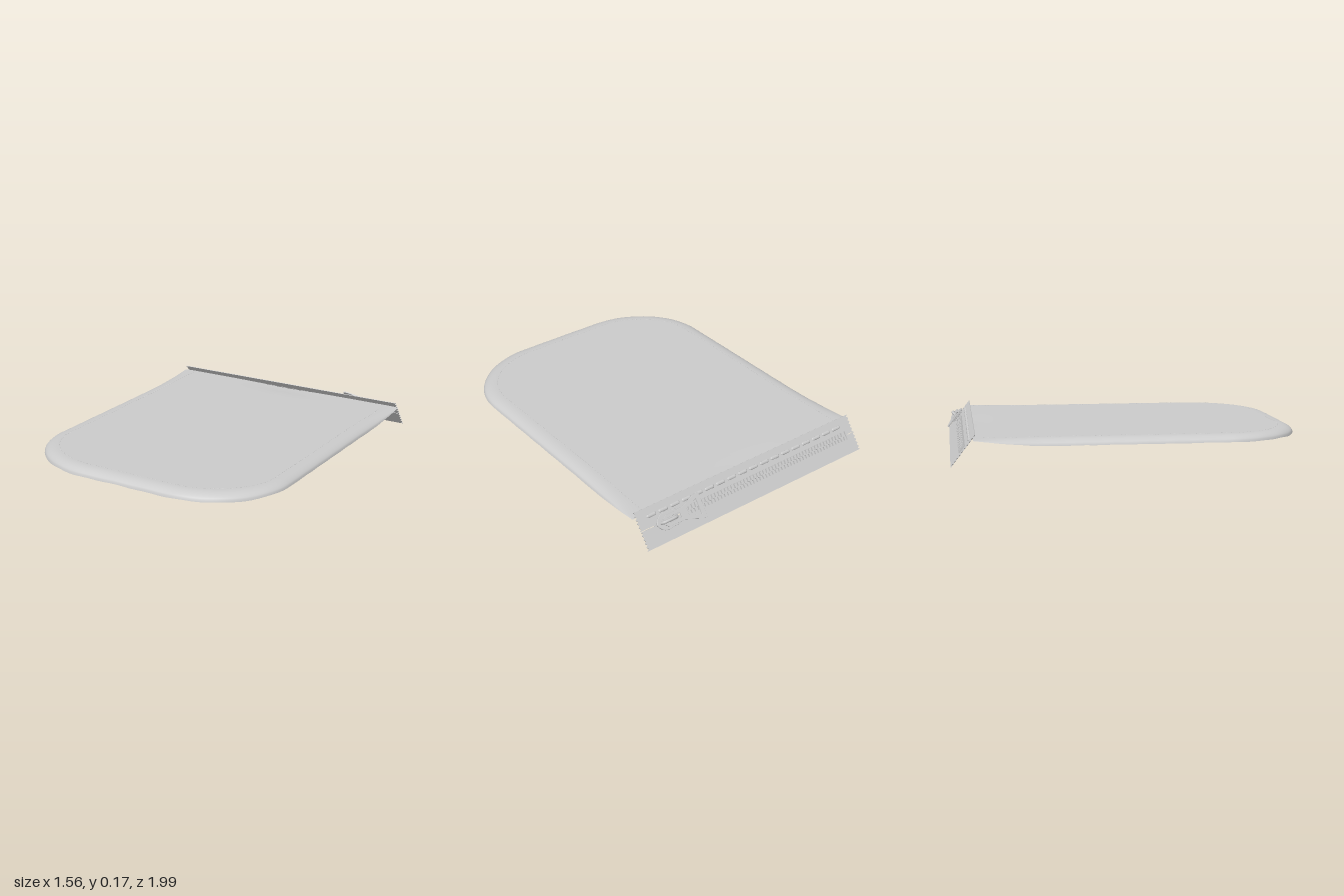
import * as THREE from 'three';
import { mergeGeometries } from 'three/addons/utils/BufferGeometryUtils.js';

const grey = new THREE.MeshStandardMaterial({ color: 0xcccccc, side: THREE.DoubleSide });
const { smoothstep, clamp, lerp } = THREE.MathUtils;

function part(name, geometry, parent) {
  const mesh = new THREE.Mesh(geometry, grey);
  mesh.name = name;
  parent.add(mesh);
  return mesh;
}

// U-shaped outline of the pocket, moved inward by d; runs from +x back round to -x back
function outline(d) {
  const half = [];
  for (let i = 0; i < 28; i++) {
    const z = -0.86 + 1.4 * i / 28;
    const flare = 0.01 * (1 - smoothstep(z, -0.86, -0.3));
    half.push([0.772 - d + flare, z]);
  }
  for (let i = 0; i <= 24; i++) {
    const a = i / 24 * Math.PI / 2;
    half.push([0.272 + (0.5 - d) * Math.cos(a), 0.54 + (0.455 - d) * Math.sin(a)]);
  }
  for (let i = 1; i <= 6; i++) half.push([0.272 * (1 - i / 6), 0.995 - d]);
  return [...half, ...half.slice(0, -1).reverse().map(([x, z]) => [-x, z])];
}

// How far the pocket is open: 0 at the flat mouth, 1 from the middle onward
function fullness(z) {
  return 1 - Math.pow(clamp((-0.45 - z) / 0.41, 0, 1), 1.5);
}

// Slight dip in the middle of the mouth
function mouthDip(x, z) {
  return 0.008 * Math.exp(-((x / 0.22) ** 2) - ((z + 0.83) / 0.06) ** 2);
}

// Top cloth: flat, rounded over at a slightly wavy edge that hangs lowest at the front
function topHeight(x, z, d) {
  const t = Math.max(0, 1 - d / 0.08);
  const roll = 1 - Math.sqrt(1 - t * t);
  const wave = 0.0015 * Math.sin(x * 31) + 0.001 * Math.sin(z * 37 + x * 13);
  const drop = 0.038 + wave + 0.004 * smoothstep(z, 0.6, 0.95);
  return 0.145 - roll * drop * (0.08 + 0.92 * fullness(z)) - mouthDip(x, z);
}

// Bottom cloth: rises from the rolled edge into a shallow hollow
function bottomHeight(x, z, d) {
  const flat = 0.145 - 0.03 * fullness(z) - 0.003 - mouthDip(x, z);
  return lerp(topHeight(x, z, 0), flat, smoothstep(d, 0, 0.09));
}

function clothGeometry(height, faceDown) {
  const rings = [0, 0.003, 0.008, 0.016, 0.028, 0.042, 0.06, 0.08, 0.11, 0.2].map(d => [d, 1]);
  for (let k = 7; k >= 0; k--) rings.push([0.2, k / 8]);
  const pos = [], index = [];
  let n = 0;
  for (const [d, k] of rings) {
    const pts = outline(d);
    n = pts.length;
    for (const [x, z] of pts) pos.push(x * k, height(x * k, z, d), z);
  }
  for (let j = 0; j < rings.length - 1; j++) {
    for (let i = 0; i < n - 1; i++) {
      const a = j * n + i, b = a + n;
      if (faceDown) index.push(a, a + 1, b, a + 1, b + 1, b);
      else index.push(a, b, a + 1, a + 1, b, b + 1);
    }
  }
  const g = new THREE.BufferGeometry();
  g.setAttribute('position', new THREE.Float32BufferAttribute(pos, 3));
  g.setIndex(index);
  g.computeVertexNormals();
  return g;
}

// Small thread stitches sunk into the cloth along the pocket edge
function pocketStitches() {
  const d = 0.086;
  const curve = new THREE.CatmullRomCurve3(
    outline(d).map(([x, z]) => new THREE.Vector3(x, topHeight(x, z, d), z)));
  const list = [], count = 190;
  for (let i = 0; i < count; i++) {
    const t = (i + 0.5) / count, p = curve.getPointAt(t), dir = curve.getTangentAt(t);
    const g = new THREE.CapsuleGeometry(0.0025, 0.01, 2, 6).rotateX(Math.PI / 2);
    g.rotateY(Math.atan2(dir.x, dir.z));
    list.push(g.translate(p.x, p.y - 0.001, p.z));
  }
  return mergeGeometries(list);
}

// Extrude a shape drawn in (x, up-slope) so that it lies flat, centred on height y
function plate(shape, thickness, y, bevel = 0) {
  const g = new THREE.ExtrudeGeometry(shape, {
    depth: thickness, bevelEnabled: bevel > 0, bevelSize: bevel, bevelThickness: bevel,
    bevelSegments: 2, curveSegments: 12 });
  return g.rotateX(Math.PI / 2).translate(0, y + thickness / 2, 0);
}

// Tape strip with pinked ends
function tapeShape(z0, z1) {
  const pts = [], teeth = 5;
  for (let i = 0; i <= teeth * 2; i++) {
    pts.push(new THREE.Vector2(0.772 - (i % 2) * 0.012, z0 + (z1 - z0) * i / (teeth * 2)));
  }
  return new THREE.Shape([...pts, ...pts.map(p => new THREE.Vector2(-p.x, p.y)).reverse()]);
}

function polygon(points) {
  return new THREE.Shape(points.map(([x, y]) => new THREE.Vector2(x, y)));
}

function buildZip() {
  const zip = new THREE.Group();
  zip.name = 'zip';

  // Two halves of the tape
  part('upperTape', plate(tapeShape(0.002, 0.107), 0.004, 0), zip);
  part('lowerTape', plate(tapeShape(-0.107, -0.002), 0.004, 0), zip);

  // Interlocking teeth, each with a wide foot and a rounded head, mostly on the outer face
  const teeth = [];
  for (let i = 0; i < 104; i++) {
    const x = -0.69 + i * 0.0115, side = i % 2 ? 1 : -1;
    teeth.push(new THREE.BoxGeometry(0.012, 0.016, 0.016).translate(x, 0.006, side * 0.015));
    teeth.push(new THREE.CylinderGeometry(0.007, 0.007, 0.014, 8).translate(x, 0.006, side * 0.004));
  }
  part('teeth', mergeGeometries(teeth), zip);
  part('bottomStop', new THREE.BoxGeometry(0.014, 0.016, 0.05).translate(-0.71, 0.004, 0), zip);

  // Long stitches on the upper half
  const stitches = [];
  for (let i = 0; i < 18; i++) {
    const g = new THREE.CapsuleGeometry(0.01, 0.042, 4, 10).rotateZ(Math.PI / 2);
    stitches.push(g.scale(1, 0.6, 1).translate(-0.66 + i * 0.0785, 0.002, 0.06));
  }
  part('tapeStitches', mergeGeometries(stitches), zip);

  // Slider: shield-shaped plates above and below the teeth
  const slider = new THREE.Group();
  slider.name = 'slider';
  zip.add(slider);
  const shield = new THREE.Shape();
  shield.moveTo(0.54, -0.04);
  shield.lineTo(0.62, -0.046);
  shield.quadraticCurveTo(0.66, -0.04, 0.675, 0);
  shield.quadraticCurveTo(0.66, 0.04, 0.62, 0.046);
  shield.lineTo(0.54, 0.04);
  shield.closePath();
  for (const y of [-0.011, 0.02]) part('sliderPlate', plate(shield, 0.005, y, 0.002), slider);
  part('sliderPost', new THREE.BoxGeometry(0.025, 0.03, 0.02).translate(0.655, 0.005, 0), slider);

  // Arched bridge that holds the pull
  const arch = new THREE.CatmullRomCurve3([[0.55, 0.02], [0.56, 0.045], [0.6, 0.052],
    [0.64, 0.045], [0.65, 0.02]].map(([x, y]) => new THREE.Vector3(x, y, 0)));
  part('sliderBridge', new THREE.TubeGeometry(arch, 20, 0.009, 8), slider);

  // Pull tab: flared plate with a window, and a loop round the bridge
  const tab = polygon([[0.385, -0.068], [0.41, -0.07], [0.51, -0.034], [0.62, -0.03],
    [0.64, -0.016], [0.64, 0.016], [0.62, 0.03], [0.51, 0.034], [0.41, 0.07], [0.385, 0.068]]);
  tab.holes.push(
    polygon([[0.408, -0.046], [0.408, 0.046], [0.485, 0.02], [0.485, -0.02]]),
    polygon([[0.53, -0.016], [0.53, 0.016], [0.62, 0.016], [0.62, -0.016]]));
  part('pullTab', plate(tab, 0.006, 0.04, 0.001), slider);

  zip.position.set(0, 0.087, -0.915);
  zip.rotation.x = -0.918;
  return zip;
}

export function createModel() {
  const model = new THREE.Group();
  model.name = 'zipPocket';
  const pocket = new THREE.Group();
  pocket.name = 'pocket';
  model.add(pocket, buildZip());
  part('topCloth', clothGeometry(topHeight, false), pocket);
  part('bottomCloth', clothGeometry(bottomHeight, true), pocket);
  part('pocketStitches', pocketStitches(), pocket);
  return model;
}
